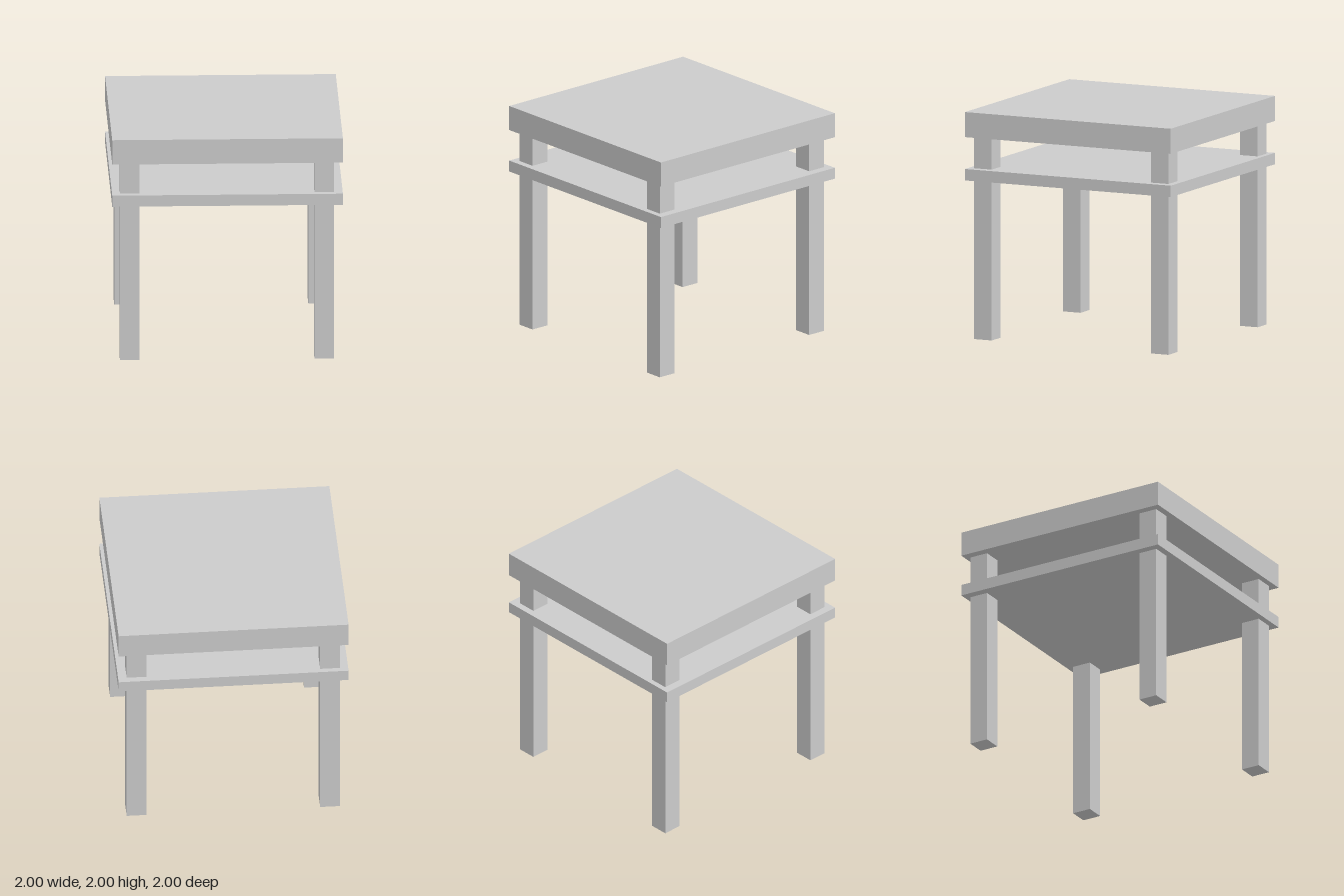
import * as THREE from 'three';

export function createModel() {
  const table = new THREE.Group();
  table.name = 'sideTable';
  const material = new THREE.MeshStandardMaterial({ color: 0xcccccc, flatShading: true });

  // Box placed by its centre in plan and its bottom and top heights
  function addBox(name, width, depth, bottom, top, x = 0, z = 0) {
    const mesh = new THREE.Mesh(new THREE.BoxGeometry(width, top - bottom, depth), material);
    mesh.name = name;
    mesh.position.set(x, (bottom + top) / 2, z);
    table.add(mesh);
  }

  // Thick top and the thin shelf below it
  addBox('tableTop', 2, 2, 1.78, 2);
  addBox('shelf', 2, 2, 1.4, 1.5);

  // Square legs pass through the shelf up to the top; each sits slightly off the exact corner
  const legs = [
    ['frontLeftLeg', 0.84, 0.862],
    ['frontRightLeg', -0.846, 0.855],
    ['backLeftLeg', 0.84, -0.855],
    ['backRightLeg', -0.842, -0.868],
  ];
  for (const [name, x, z] of legs) addBox(name, 0.17, 0.17, 0, 1.78, x, z);

  return table;
}
